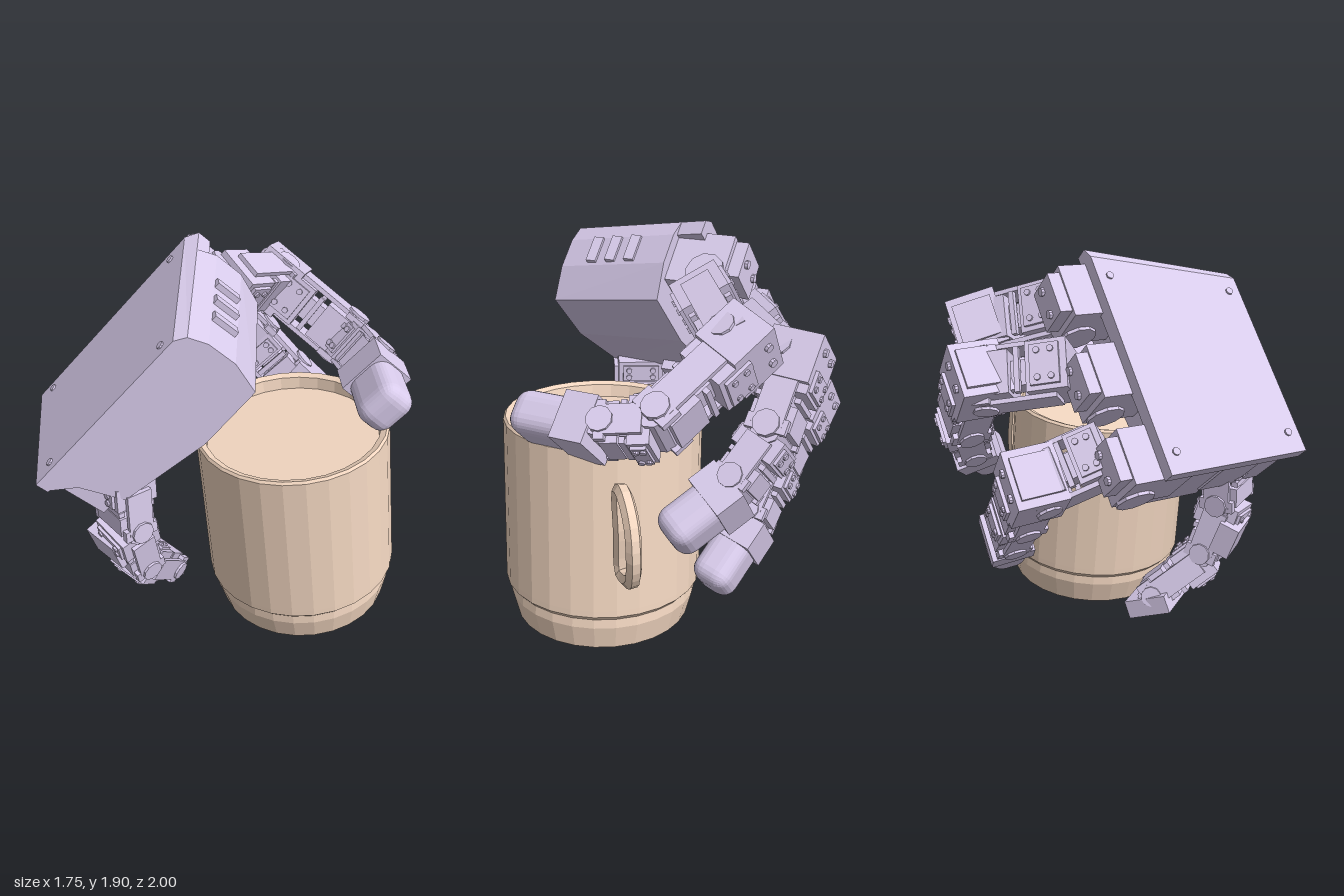
import * as THREE from 'three';
import { RoundedBoxGeometry } from 'three/addons/geometries/RoundedBoxGeometry.js';

const V = (x, y, z) => new THREE.Vector3(x, y, z);
const metal = new THREE.MeshStandardMaterial({ color: 0xd9ccec, flatShading: true, side: THREE.DoubleSide });
const clay = new THREE.MeshStandardMaterial({ color: 0xf3d7c1, flatShading: true, side: THREE.DoubleSide });

// Hand frame: U runs across the knuckles, W towards the fingers, N out of the back
const U = V(0.41, 0.745, -0.525).normalize();
const N = V(-0.425, 0.666, 0.614).normalize();
const W = N.clone().cross(U).normalize();
const CORNER = V(-0.04, 1.05, 1.0);

function add(parent, name, geometry, material, x = 0, y = 0, z = 0) {
  const mesh = new THREE.Mesh(geometry, material);
  mesh.name = name;
  mesh.position.set(x, y, z);
  parent.add(mesh);
  return mesh;
}
const box = (parent, name, w, h, d, x, y, z) =>
  add(parent, name, new THREE.BoxGeometry(w, h, d), metal, x, y, z);

function pin(parent, name, r, length, axis, x, y, z) {
  const mesh = add(parent, name, new THREE.CylinderGeometry(r, r, length, 10), metal, x, y, z);
  if (axis === 'x') mesh.rotation.z = Math.PI / 2;
  if (axis === 'z') mesh.rotation.x = Math.PI / 2;
}

// Group whose y runs from p to q and whose x follows the hinge axis
function segment(name, p, q, hinge) {
  const g = new THREE.Group();
  g.name = name;
  const y = q.clone().sub(p).normalize();
  const z = hinge.clone().cross(y).normalize();
  const x = y.clone().cross(z);
  g.quaternion.setFromRotationMatrix(new THREE.Matrix4().makeBasis(x, y, z));
  g.position.copy(p);
  return g;
}

// Two motor housings joined by side brackets, with hinge pins and screws
function link(name, p, q, hinge, w, t) {
  const g = segment(name, p, q, hinge);
  const L = p.distanceTo(q);
  box(g, 'motorHousing', w * 0.82, L * 0.42, t, 0, L * 0.19, 0);
  box(g, 'motorCap', w * 0.66, L * 0.3, t * 1.14, 0, L * 0.2, 0);
  box(g, 'jointHousing', w * 0.72, L * 0.34, t * 0.86, 0, L * 0.76, 0);
  box(g, 'core', w * 0.42, L * 0.5, t * 0.45, 0, L * 0.5, 0);
  for (const s of [-1, 1]) {
    box(g, 'sideBracket', 0.022, L * 0.8, t * 0.6, s * w * 0.45, L * 0.52, 0);
    box(g, 'bracketEar', 0.03, L * 0.2, t * 0.8, s * w * 0.43, L * 0.9, 0);
    box(g, 'rib', w * 0.74, 0.025, 0.03, 0, L * 0.5, s * t * 0.38);
    pin(g, 'hingeCap', t * 0.26, 0.03, 'x', s * w * 0.48, L * 0.9, 0);
    for (const k of [-1, 1]) {
      pin(g, 'screw', 0.015, 0.02, 'z', k * w * 0.22, L * 0.13, s * t * 0.57);
      pin(g, 'screw', 0.015, 0.02, 'z', k * w * 0.22, L * 0.27, s * t * 0.57);
    }
  }
  pin(g, 'hingePin', t * 0.3, w * 0.86, 'x', 0, L * 0.95, 0);
  return g;
}

// Rounded soft pad, with a squared collar at its base
function fingertip(p, q, hinge) {
  const g = segment('fingertip', p, q, hinge);
  const L = p.distanceTo(q);
  add(g, 'pad', new RoundedBoxGeometry(0.24, L * 0.95, 0.2, 3, 0.07), metal, 0, L * 0.56, 0);
  box(g, 'collar', 0.25, L * 0.4, 0.22, 0, L * 0.2, 0);
  return g;
}

function finger(name, points, hinge) {
  const g = new THREE.Group();
  g.name = name;
  const sizes = [[0.29, 0.23], [0.27, 0.24], [0.25, 0.22]];
  const last = points.length - 2;
  for (let i = 0; i < last; i++)
    g.add(link('fingerLink', points[i], points[i + 1], hinge, ...sizes[i]));
  g.add(fingertip(points[last], points[last + 1], hinge));

  // Large motor block on the knuckle, studded with screws
  const k = segment('knuckle', points[1], points[2], hinge);
  box(k, 'knuckleBlock', 0.28, 0.23, 0.24, 0, -0.02, 0);
  box(k, 'knuckleCover', 0.2, 0.26, 0.19, 0, -0.02, 0);
  for (const s of [-1, 1])
    for (const a of [-0.06, 0.06])
      for (const b of [-0.08, 0.04]) pin(k, 'screw', 0.02, 0.02, 'z', a, b, s * 0.125);
  g.add(k);
  return g;
}

// Profile in the U-N plane run along W; the finger-side end flares as it goes
function flared(points, depth) {
  const shape = new THREE.Shape(points.map(([x, y]) => new THREE.Vector2(x, y)));
  const geometry = new THREE.ExtrudeGeometry(shape, { depth, bevelEnabled: false });
  geometry.translate(0, 0, -depth);
  const pos = geometry.attributes.position;
  for (let i = 0; i < pos.count; i++) pos.setX(i, pos.getX(i) * (1 - 0.25 * pos.getZ(i)));
  geometry.computeVertexNormals();
  return geometry;
}

function palm() {
  const g = new THREE.Group();
  g.name = 'palm';
  // Local x = U, y = N, z = -W
  g.quaternion.setFromRotationMatrix(new THREE.Matrix4().makeBasis(U, N, W.clone().negate()));
  g.position.copy(CORNER);

  add(g, 'palmShell', flared([[0, 0], [0.92, 0], [0.97, -0.03], [1.0, -0.12], [1.0, -0.27], [0.95, -0.43],
    [0.62, -0.44], [0.17, -0.36], [0.1, -0.15], [0, -0.05]], 0.6), metal);
  add(g, 'backPlate', flared([[0, 0.005], [0.92, 0.005], [0.97, -0.03], [0.97, -0.1], [0, -0.06]], 0.73), metal);
  for (const [x, z] of [[0.1, -0.06], [0.1, -0.67], [0.85, -0.06], [0.98, -0.67]])
    pin(g, 'plateScrew', 0.018, 0.015, 'y', x, 0.006, z);

  // Vents on the finger-side end
  for (const z of [-0.18, -0.29, -0.4]) box(g, 'endRib', 0.04, 0.13, 0.05, 1.0 - 0.25 * z, -0.19, z);

  // Knuckle motors beneath the plate edge, one per finger
  for (const x of [0.14, 0.55, 0.96]) {
    box(g, 'baseMotor', 0.26, 0.26, 0.3, x, -0.19, -0.72);
    box(g, 'baseMotorCover', 0.2, 0.18, 0.36, x, -0.16, -0.75);
    pin(g, 'baseHinge', 0.09, 0.29, 'x', x, -0.26, -0.78);
    for (const s of [-1, 1]) pin(g, 'screw', 0.02, 0.02, 'z', x + s * 0.06, -0.16, -0.935);
  }
  // Thumb motors at the heel
  box(g, 'thumbMotor', 0.28, 0.3, 0.3, 0.17, -0.28, -0.5);
  box(g, 'thumbMotorCover', 0.24, 0.24, 0.2, 0.14, -0.24, -0.28);
  box(g, 'thumbMount', 0.22, 0.22, 0.26, 0.14, -0.24, -0.17);
  return g;
}

function thumb() {
  const g = new THREE.Group();
  g.name = 'thumb';
  const axis = V(1, 0.05, 0.1).normalize();
  const pts = [V(0.06, 0.98, 0.61), V(0.07, 0.7, 0.61), V(0.03, 0.42, 0.53), V(-0.09, 0.19, 0.27)];
  const sizes = [[0.29, 0.21], [0.27, 0.2], [0.26, 0.19]];
  sizes.forEach((s, i) => g.add(link('thumbLink', pts[i], pts[i + 1], axis, ...s)));
  box(g, 'thumbElbow', 0.2, 0.16, 0.1, 0, 0.56, 0.65).rotation.x = 0.35;
  box(g, 'thumbEnd', 0.24, 0.09, 0.22, -0.1, 0.19, 0.31).rotation.x = -0.35;
  return g;
}

function mug() {
  const g = new THREE.Group();
  g.name = 'mug';
  // Stepped foot, straight wall and a shallow recess at the top
  const profile = [[0, 0], [0.425, 0], [0.455, 0.12], [0.452, 0.165], [0.474, 0.19], [0.474, 0.22],
    [0.465, 1.0], [0.455, 1.012], [0.425, 1.0], [0.415, 0.94], [0, 0.94]];
  const body = add(g, 'mugBody',
    new THREE.LatheGeometry(profile.map(([r, y]) => new THREE.Vector2(r, y)), 28), clay, 0.41, 0.05, -0.285);
  body.quaternion.setFromUnitVectors(V(0, 1, 0), V(-0.045, 1, 0.1).normalize());
  // Closed loop whose inner side lies against the wall
  const path = new THREE.CatmullRomCurve3([V(0.37, 0.95, -0.73), V(0.36, 0.965, -0.83), V(0.35, 0.88, -0.93),
    V(0.35, 0.73, -0.96), V(0.35, 0.6, -0.9), V(0.36, 0.54, -0.8), V(0.37, 0.54, -0.74), V(0.37, 0.75, -0.735)], true);
  add(g, 'mugHandle', new THREE.TubeGeometry(path, 24, 0.036, 6, true), clay);
  return g;
}

export function createModel() {
  const model = new THREE.Group();
  model.name = 'robotHandHoldingMug';
  model.add(mug(), palm(), thumb());
  model.add(finger('upperFinger', [V(-0.1, 1.62, -0.18), V(-0.16, 1.49, -0.6), V(0.22, 1.24, -0.75),
    V(0.43, 1.21, -0.67), V(0.74, 1.19, -0.42)], U));
  model.add(finger('middleFinger', [V(-0.36, 1.4, -0.02), V(-0.48, 1.32, -0.45), V(-0.32, 1.07, -0.63),
    V(-0.14, 0.89, -0.71), V(0.16, 0.71, -0.77)], U));
  model.add(finger('lowerFinger', [V(-0.5, 1.08, 0.22), V(-0.66, 0.93, -0.08), V(-0.47, 0.7, -0.25),
    V(-0.31, 0.5, -0.41), V(-0.07, 0.28, -0.57)], U));
  return model;
}
